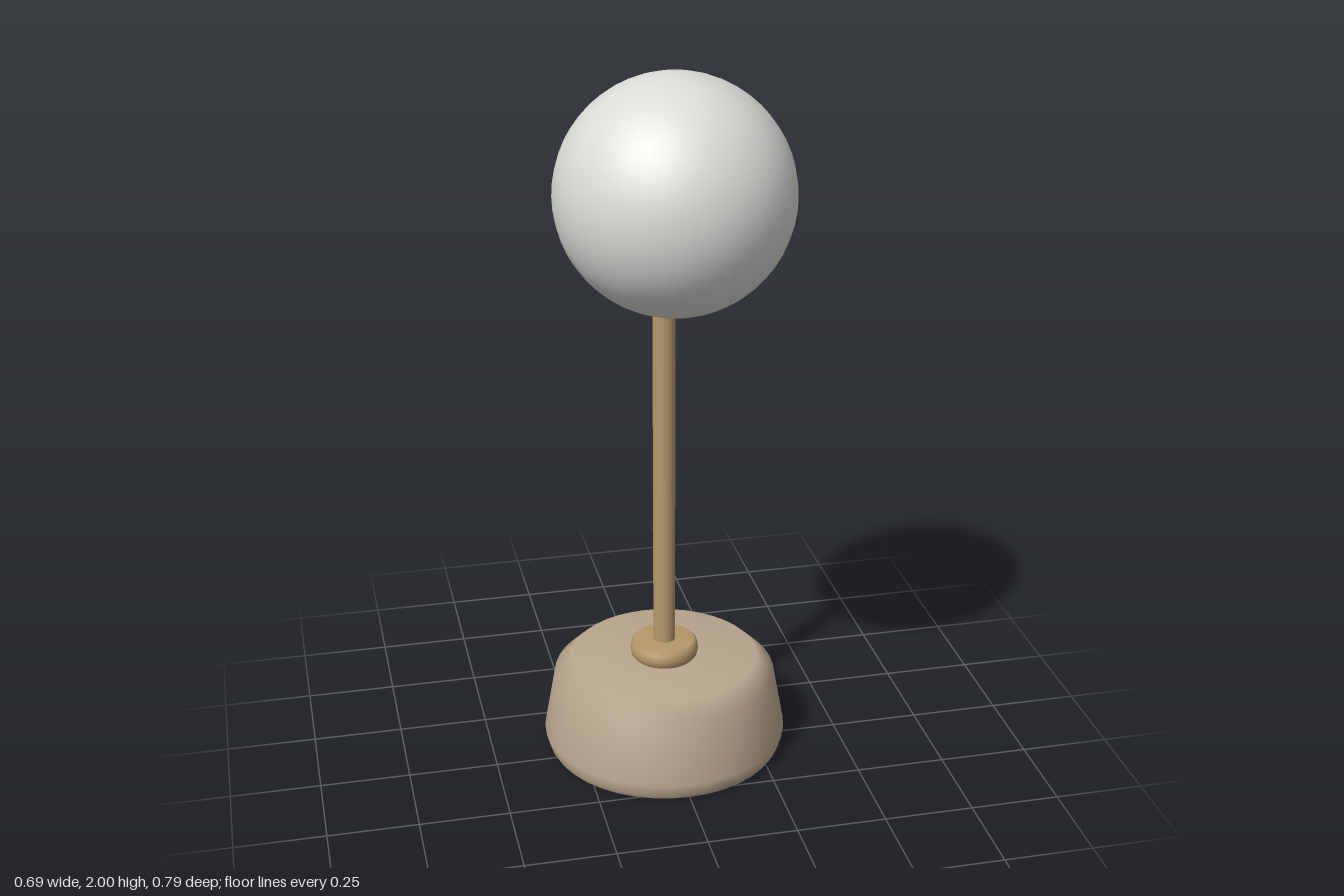
import * as THREE from 'three';

const mat = (name, color) => {
  const m = new THREE.MeshStandardMaterial({ color });
  m.name = name;
  return m;
};

export function createModel() {
  const lamp = new THREE.Group();
  lamp.name = 'globeLamp';
  const glass = mat('frosted white', 0xdddbd8);
  const stone = mat('warm taupe', 0xbaa68f);
  const brass = mat('brushed brass', 0xb5986a);

  const add = (name, geometry, material, y, z) => {
    const mesh = new THREE.Mesh(geometry, material);
    mesh.name = name;
    mesh.position.set(0, y, z);
    lamp.add(mesh);
  };
  // Profiles run from the bottom centre to the top centre; a doubled point makes a sharp edge
  const turned = (points) =>
    new THREE.LatheGeometry(points.map(([r, y]) => new THREE.Vector2(r, y)), 40);

  const stemZ = -0.05;

  // Heavy tapered base with a sloped shoulder
  add('base', turned([
    [0, 0], [0.33, 0], [0.33, 0], [0.337, 0.012], [0.347, 0.05],
    [0.315, 0.228], [0.266, 0.275], [0, 0.275],
  ]), stone, 0, stemZ);

  // Rounded collar at the foot of the stem
  add('collar', turned([
    [0, 0], [0.086, 0], [0.086, 0], [0.094, 0.01], [0.097, 0.025],
    [0.094, 0.043], [0.084, 0.054], [0, 0.054],
  ]), brass, 0.273, stemZ);

  // Stem
  add('stem', new THREE.CylinderGeometry(0.031, 0.031, 1.095, 32), brass, 0.8175, stemZ);

  // Small cup set into the underside of the globe
  add('globeHolder', turned([
    [0, 0], [0.07, 0], [0.07, 0], [0.081, 0.012], [0.085, 0.028],
    [0.08, 0.04], [0, 0.04],
  ]), brass, 1.37, 0.04);

  // Globe shade, set forward of the stem
  add('globe', new THREE.SphereGeometry(0.315, 40, 28), glass, 1.685, 0.082);

  return lamp;
}
